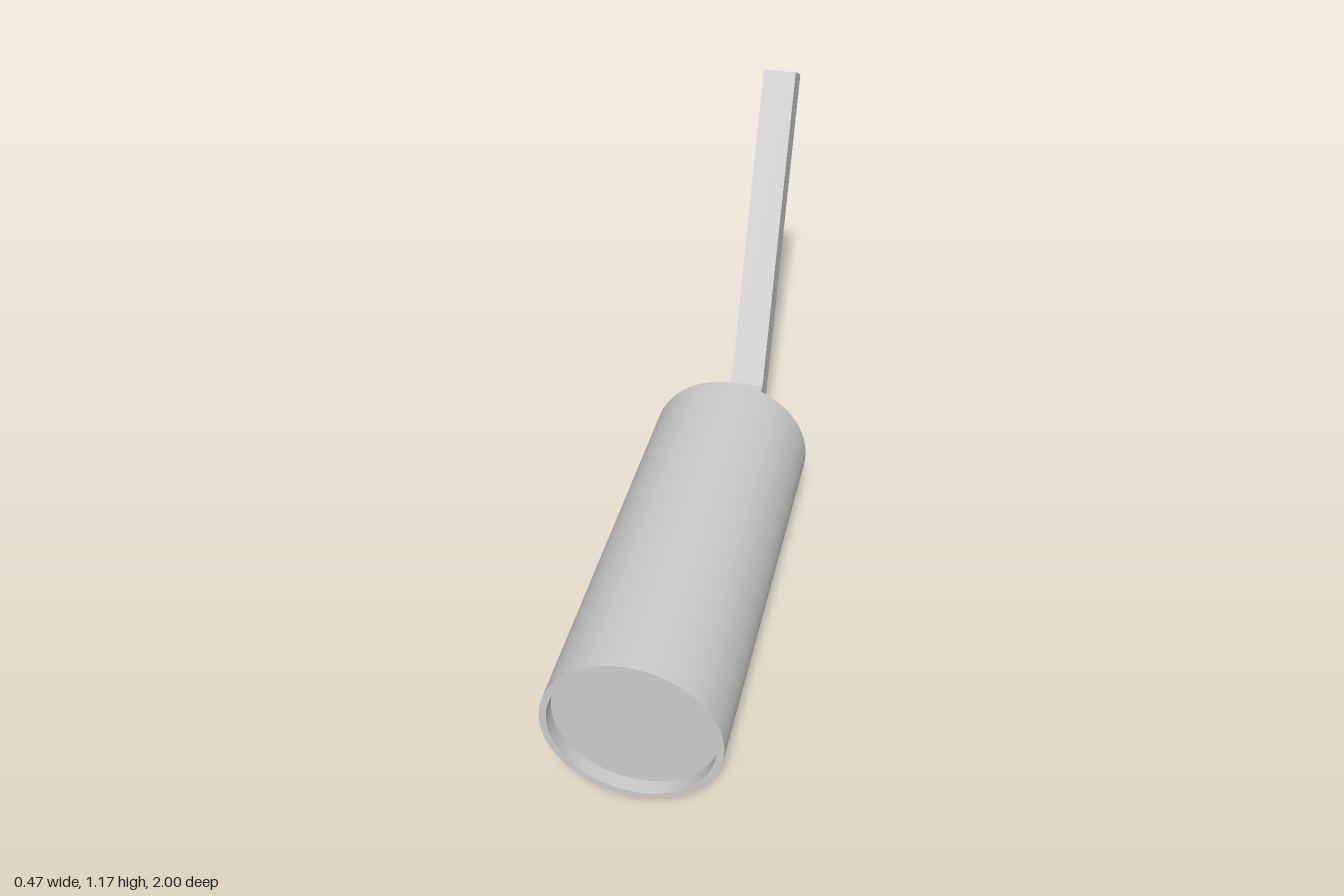
import * as THREE from 'three';
import { toCreasedNormals } from 'three/addons/utils/BufferGeometryUtils.js';

const grey = new THREE.MeshStandardMaterial({ color: 0xcccccc });

function addPart(group, name, geometry) {
  const mesh = new THREE.Mesh(geometry, grey);
  mesh.name = name;
  group.add(mesh);
}

export function createModel() {
  const group = new THREE.Group();
  const radius = 0.237, innerRadius = 0.218;
  const back = -0.185, front = 1, recess = 0.04;

  // Cylindrical body with a thin rim around a shallow recessed front
  const profile = [
    [0, back], [radius, back], [radius, front],
    [innerRadius, front], [innerRadius, front - recess], [0, front - recess],
  ].map(([r, z]) => new THREE.Vector2(r, z));
  const body = toCreasedNormals(new THREE.LatheGeometry(profile, 64), 0.6);
  body.rotateX(Math.PI / 2).translate(0, radius, 0);
  addPart(group, 'body', body);

  // Bent square bar: side outline given as (z, y), extruded across x
  const outline = [
    [back, 0.195], [back, 0.285], [-0.443, 0.285],
    [-0.907, 1.167], [-1, 1.12], [-0.51, 0.195],
  ].map(([z, y]) => new THREE.Vector2(z, y));
  const width = 0.102;
  const bar = new THREE.ExtrudeGeometry(new THREE.Shape(outline), { depth: width, bevelEnabled: false });
  bar.translate(0, 0, -width / 2).rotateY(-Math.PI / 2);
  addPart(group, 'bentHandle', bar);

  return group;
}
